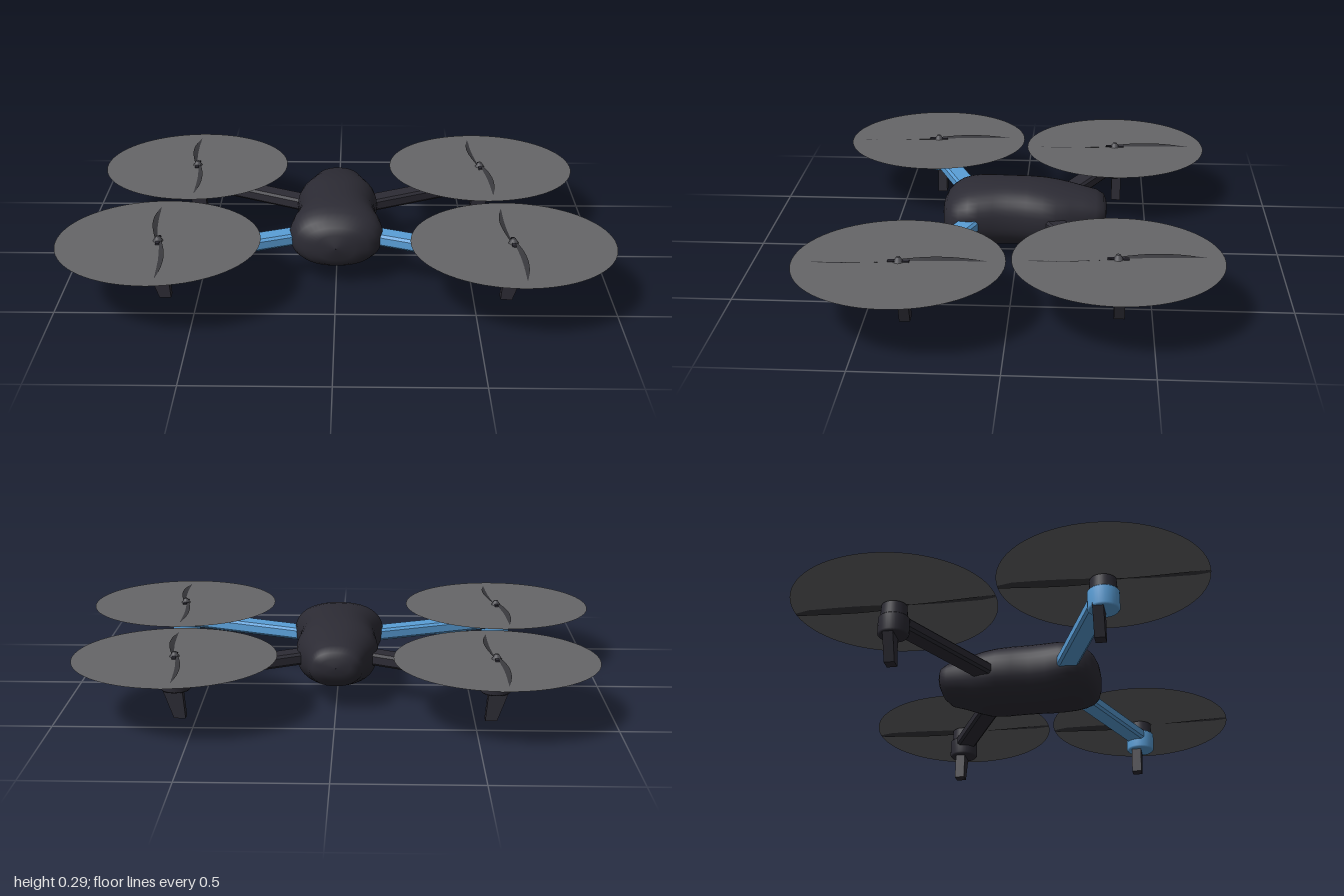
import * as THREE from 'three';

const mat = (name, color, side = THREE.FrontSide) => {
  const m = new THREE.MeshStandardMaterial({ color, side });
  m.name = name;
  return m;
};

const DISC_Y = 0.225;
const DISC_R = 0.366;

// Closed skin lofted through rounded sections: [z, half width, bottom y, top y]
function loft(sections, sides = 40) {
  const pos = [], index = [];
  const pow = (v) => Math.sign(v) * Math.pow(Math.abs(v), 0.88);
  for (const [z, w, lo, hi] of sections) {
    for (let j = 0; j < sides; j++) {
      const a = (j / sides) * Math.PI * 2;
      pos.push(w * pow(Math.cos(a)), (lo + hi) / 2 + ((hi - lo) / 2) * pow(Math.sin(a)), z);
    }
  }
  for (let i = 0; i < sections.length - 1; i++) {
    for (let j = 0; j < sides; j++) {
      const k = (j + 1) % sides;
      const a = i * sides + j, b = i * sides + k;
      index.push(a, b, b + sides, a, b + sides, a + sides);
    }
  }
  const g = new THREE.BufferGeometry();
  g.setAttribute('position', new THREE.Float32BufferAttribute(pos, 3));
  g.setIndex(index);
  g.computeVertexNormals();
  return g;
}

// Thin twisted blade running along +z from the hub
function bladeGeometry() {
  const g = new THREE.PlaneGeometry(1, 1, 2, 14);
  const p = g.attributes.position;
  for (let i = 0; i < p.count; i++) {
    const u = p.getX(i), t = p.getY(i) + 0.5;
    const chord = 0.014 + 0.04 * Math.sin(Math.PI * Math.min(1, 0.12 + t * 0.85));
    const tilt = 0.45 * (1 - t) + 0.05;
    const sweep = 0.012 * Math.sin(t * Math.PI);
    p.setXYZ(i, u * chord * Math.cos(tilt) + sweep,
      u * chord * Math.sin(tilt) - 0.002, 0.01 + t * (DISC_R - 0.012));
  }
  g.computeVertexNormals();
  return g;
}

export function createModel() {
  const model = new THREE.Group();
  model.name = 'quadcopter';
  const dark = mat('charcoal shell', 0x2c2b34);
  const blue = mat('blue paint', 0x5a9fd8);
  const grey = mat('grey rotor blur', 0x666668, THREE.DoubleSide);
  const blade = mat('dark blade', 0x38383c, THREE.DoubleSide);
  const hubMat = mat('grey hub', 0x505055);

  const add = (parent, name, geo, material, x = 0, y = 0, z = 0) => {
    const m = new THREE.Mesh(geo, material);
    m.name = name;
    m.position.set(x, y, z);
    parent.add(m);
    return m;
  };

  // Body
  add(model, 'body', loft([
    [-0.340, 0.001, 0.170, 0.172], [-0.338, 0.055, 0.145, 0.205], [-0.328, 0.084, 0.120, 0.228],
    [-0.300, 0.099, 0.092, 0.246], [-0.250, 0.113, 0.078, 0.258], [-0.200, 0.130, 0.060, 0.270],
    [-0.150, 0.148, 0.046, 0.279], [-0.100, 0.154, 0.043, 0.286], [-0.040, 0.148, 0.043, 0.291],
    [0.030, 0.146, 0.043, 0.292], [0.090, 0.154, 0.043, 0.292], [0.140, 0.167, 0.048, 0.289],
    [0.180, 0.173, 0.054, 0.282], [0.215, 0.167, 0.061, 0.270], [0.245, 0.148, 0.070, 0.250],
    [0.265, 0.118, 0.083, 0.230], [0.278, 0.070, 0.105, 0.205], [0.286, 0.001, 0.155, 0.157],
  ]), dark);

  // Chamfered arm cross-section
  const w = 0.039, h = 0.023, c = 0.009;
  const armShape = new THREE.Shape([
    [-w, -h + c], [-w + c, -h], [w - c, -h], [w, -h + c],
    [w, h - c], [w - c, h], [-w + c, h], [-w, h - c],
  ].map(([x, y]) => new THREE.Vector2(x, y)));

  const bladeGeo = bladeGeometry();
  const discGeo = new THREE.CircleGeometry(DISC_R, 72).rotateX(-Math.PI / 2);

  const corners = [
    { end: 'front', x: 0.634, z: 0.372, rootX: 0.1, rootZ: 0.155, paint: blue, split: 0.175, legZ: 0.357 },
    { end: 'rear', x: 0.574, z: -0.376, rootX: 0.07, rootZ: -0.115, paint: dark, split: 0.172, legZ: -0.385 },
  ];

  for (const { end, x, z, rootX, rootZ, paint, split, legZ } of corners) {
    for (const s of [1, -1]) {
      const unit = new THREE.Group();
      unit.name = end + (s > 0 ? 'LeftRotorUnit' : 'RightRotorUnit');
      model.add(unit);

      // Arm from the body to the motor pod
      const len = Math.hypot(x - rootX, z - rootZ);
      const arm = add(unit, 'arm',
        new THREE.ExtrudeGeometry(armShape, { depth: len, bevelEnabled: false }),
        paint, s * rootX, 0.159, rootZ);
      arm.lookAt(s * x, 0.159, z);

      // Motor pod and motor
      const px = s * x;
      add(unit, 'motorPod', new THREE.LatheGeometry([
        [0, 0.102], [0.050, 0.102], [0.056, 0.108], [0.056, split - 0.004], [0.052, split], [0, split],
      ].map(([r, y]) => new THREE.Vector2(r, y)), 32), paint, px, 0, z);
      add(unit, 'motor', new THREE.CylinderGeometry(0.046, 0.049, 0.219 - split, 32),
        dark, px, (0.219 + split) / 2, z);

      // Landing leg, leaning inwards
      const leg = new THREE.Shape([
        [x + 0.046, 0.112], [x - 0.026, 0.112], [x - 0.036, 0], [x + 0.006, 0],
      ].map(([lx, ly]) => new THREE.Vector2(s * lx, ly)));
      add(unit, 'leg', new THREE.ExtrudeGeometry(leg, { depth: 0.038, bevelEnabled: false }),
        dark, 0, 0, legZ - 0.019);

      // Propeller: blades, hub and spinning disc
      const prop = new THREE.Group();
      prop.name = 'propeller';
      prop.position.set(px, DISC_Y, z);
      prop.rotation.y = s * (end === 'front' ? -0.02 : 0.02);
      unit.add(prop);
      for (const turn of [0, Math.PI]) {
        add(prop, 'blade', bladeGeo, blade).rotation.y = turn;
      }
      add(prop, 'rotorDisc', discGeo, grey);
      add(prop, 'hub', new THREE.CylinderGeometry(0.007, 0.023, 0.026, 20), hubMat, 0, 0.005, 0);
      add(prop, 'hubClamp', new THREE.BoxGeometry(0.014, 0.010, 0.075), dark, 0, 0, 0);
    }
  }
  return model;
}
